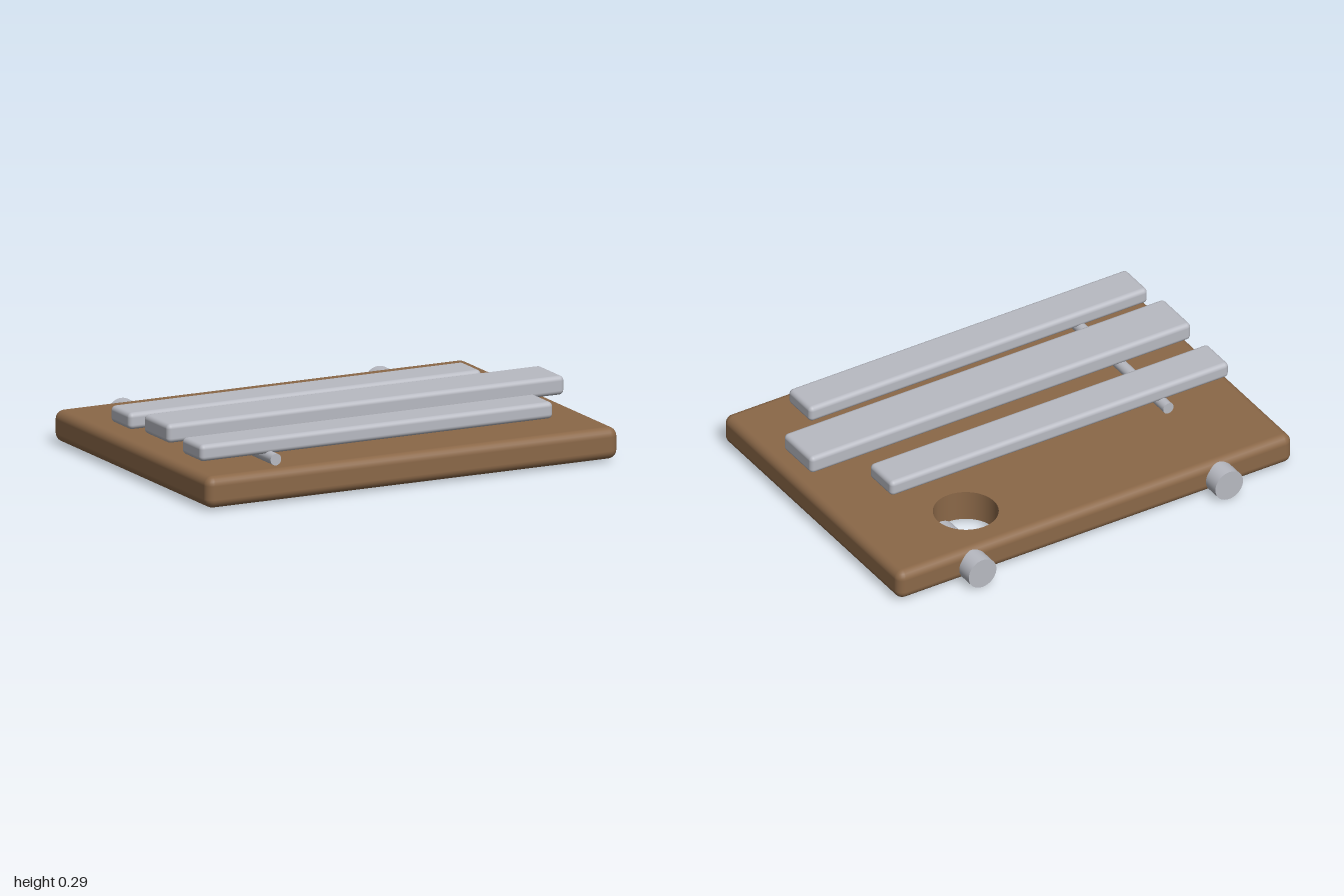
import * as THREE from 'three';
import { RoundedBoxGeometry } from 'three/addons/geometries/RoundedBoxGeometry.js';

const wood = new THREE.MeshStandardMaterial({ color: 0x8b6848 });
wood.name = 'wood';
const metal = new THREE.MeshStandardMaterial({ color: 0xb8bac2 });
metal.name = 'metal';

// Board extents and its through hole
const X = 1, Z0 = -0.68, Z1 = 0.757, Y0 = 0.01, Y1 = 0.15, R = 0.04;
const HOLE = { x: 0.498, z: -0.417, r: 0.142 };

function addMesh(parent, name, geometry, material, x = 0, y = 0, z = 0) {
  const mesh = new THREE.Mesh(geometry, material);
  mesh.name = name;
  mesh.position.set(x, y, z);
  parent.add(mesh);
  return mesh;
}

// Rounded rim: quarter-round edges swept around the rectangle, with exact normals
function rimGeometry() {
  const pos = [], nor = [], idx = [], S = 6;
  const corners = [[X - R, Z1 - R], [-X + R, Z1 - R], [-X + R, Z0 + R], [X - R, Z0 + R]];
  const rows = [];
  for (let i = 0; i <= S; i++) rows.push([(i / S - 1) * Math.PI / 2, Y0 + R]);
  for (let i = 0; i <= S; i++) rows.push([(i / S) * Math.PI / 2, Y1 - R]);
  const n = 4 * (S + 1);
  for (const [a, cy] of rows) {
    corners.forEach(([cx, cz], c) => {
      for (let k = 0; k <= S; k++) {
        const t = (c + k / S) * Math.PI / 2;
        const v = [Math.cos(a) * Math.cos(t), Math.sin(a), Math.cos(a) * Math.sin(t)];
        nor.push(...v);
        pos.push(cx + R * v[0], cy + R * v[1], cz + R * v[2]);
      }
    });
  }
  for (let i = 0; i < rows.length - 1; i++) {
    for (let j = 0; j < n; j++) {
      const a = i * n + j, b = i * n + (j + 1) % n;
      idx.push(a, a + n, b, b, a + n, b + n);
    }
  }
  const g = new THREE.BufferGeometry();
  g.setAttribute('position', new THREE.Float32BufferAttribute(pos, 3));
  g.setAttribute('normal', new THREE.Float32BufferAttribute(nor, 3));
  g.setIndex(idx);
  return g;
}

// Flat face with the round hole; dir = 1 faces up, -1 faces down
function faceGeometry(dir) {
  const x = X - R, za = -dir * (Z0 + R), zb = -dir * (Z1 - R);
  const shape = new THREE.Shape([
    new THREE.Vector2(-x, za), new THREE.Vector2(x, za),
    new THREE.Vector2(x, zb), new THREE.Vector2(-x, zb),
  ]);
  const hole = new THREE.Path();
  hole.absarc(HOLE.x, -dir * HOLE.z, HOLE.r, 0, Math.PI * 2, true);
  shape.holes.push(hole);
  return new THREE.ShapeGeometry(shape, 24).rotateX(-dir * Math.PI / 2);
}

export function createModel() {
  const model = new THREE.Group();
  model.name = 'barBoard';

  // Wooden board
  const board = new THREE.Group();
  board.name = 'board';
  model.add(board);
  addMesh(board, 'boardRim', rimGeometry(), wood);
  addMesh(board, 'boardTop', faceGeometry(1), wood, 0, Y1, 0);
  addMesh(board, 'boardBottom', faceGeometry(-1), wood, 0, Y0, 0);
  const wall = [new THREE.Vector2(HOLE.r, Y1), new THREE.Vector2(HOLE.r, Y0)];
  addMesh(board, 'holeWall', new THREE.LatheGeometry(wall, 48), wood, HOLE.x, 0, HOLE.z);

  // Pegs set into the back edge
  for (const side of [-1, 1]) {
    const peg = new THREE.CylinderGeometry(0.07, 0.07, 0.342, 40).rotateX(Math.PI / 2);
    addMesh(model, side > 0 ? 'leftPeg' : 'rightPeg', peg, metal, side * 0.625, 0.07, -0.586);
  }

  // Rod carrying the bars
  const rod = new THREE.CylinderGeometry(0.026, 0.026, 0.936, 28).rotateX(Math.PI / 2);
  addMesh(model, 'rod', rod, metal, -0.63, 0.176, 0.213);

  // Three bars: name, right end, bottom, top, back, front
  const bars = [
    ['backBar', 0.747, 0.19, 0.264, -0.212, -0.03],
    ['middleBar', 0.962, 0.206, 0.29, 0.095, 0.325],
    ['frontBar', 0.747, 0.19, 0.264, 0.447, 0.63],
  ];
  for (const [name, x1, y0, y1, z0, z1] of bars) {
    const x0 = -0.967;
    const bar = new RoundedBoxGeometry(x1 - x0, y1 - y0, z1 - z0, 4, 0.021);
    addMesh(model, name, bar, metal, (x0 + x1) / 2, (y0 + y1) / 2, (z0 + z1) / 2);
  }
  return model;
}
